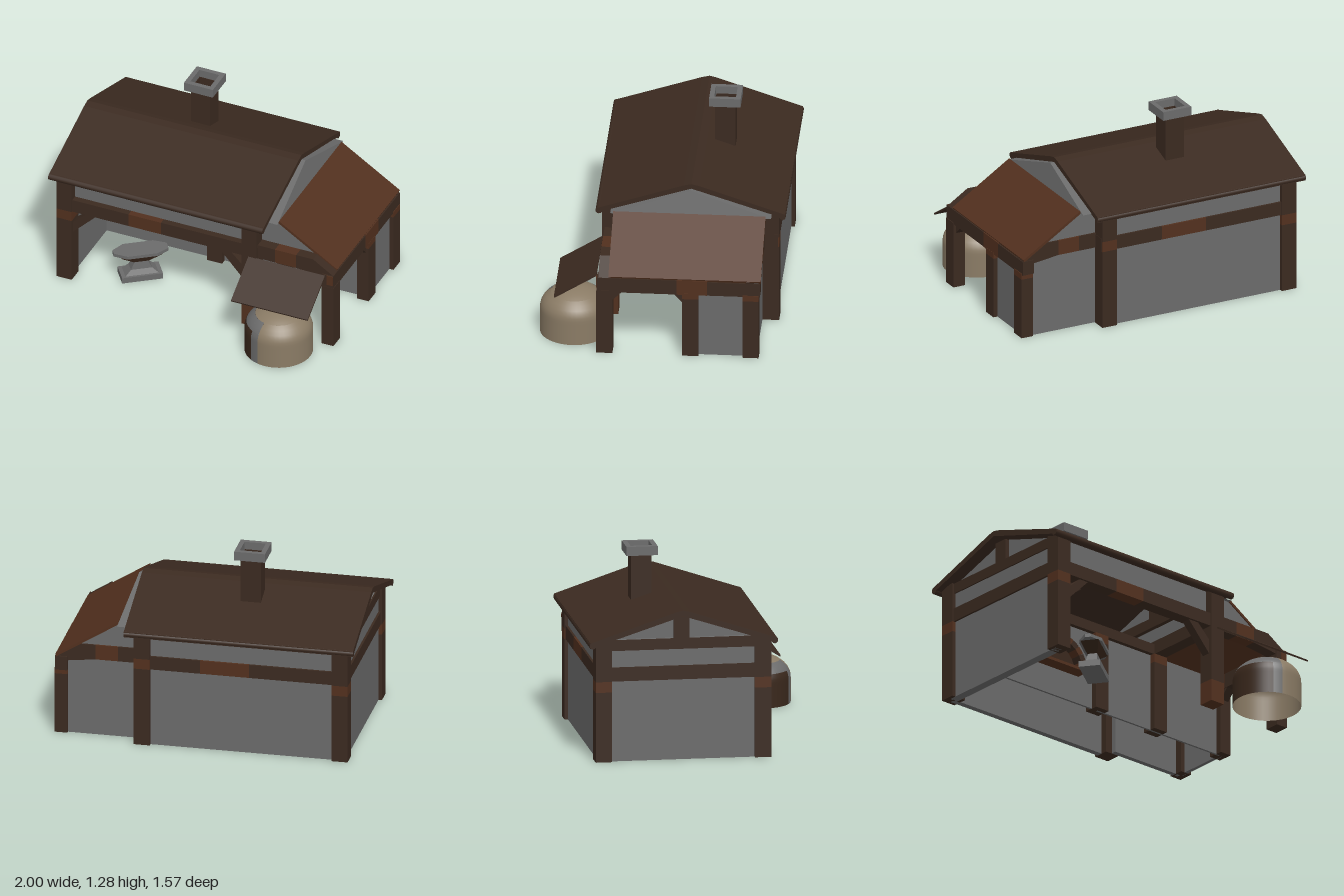
import * as THREE from 'three';

const material = (name, color, side = THREE.FrontSide) => {
  const m = new THREE.MeshStandardMaterial({ color, side });
  m.name = name;
  return m;
};

export function createModel() {
  const model = new THREE.Group();
  model.name = 'smithy';
  const wood = material('dark wood', 0x3b2a20);
  const rust = material('red brown wood', 0x52301e);
  const stone = material('grey stone', 0x6b6b6b, THREE.DoubleSide);
  const clay = material('tan clay', 0x8a7b65, THREE.DoubleSide);
  const soot = material('hearth brown', 0x3a281c, THREE.DoubleSide);

  const add = (name, geo, mat, parent = model) => {
    const mesh = new THREE.Mesh(geo, mat);
    mesh.name = name;
    parent.add(mesh);
    return mesh;
  };
  // box given by its limits
  const box = (name, mat, x0, x1, y0, y1, z0, z1, parent = model) => {
    const g = new THREE.BoxGeometry(x1 - x0, y1 - y0, z1 - z0);
    g.translate((x0 + x1) / 2, (y0 + y1) / 2, (z0 + z1) / 2);
    return add(name, g, mat, parent);
  };
  const extrude = (pts, depth) => new THREE.ExtrudeGeometry(
    new THREE.Shape(pts.map(p => new THREE.Vector2(...p))), { depth, bevelEnabled: false });
  // outline in (x, y), thick along z
  const plateXY = (name, mat, pts, z0, z1, parent) =>
    add(name, extrude(pts, z1 - z0).translate(0, 0, z0), mat, parent);
  // outline in (z, y), thick along x
  const plateZY = (name, mat, pts, x0, x1) =>
    add(name, extrude(pts, x1 - x0).rotateY(-Math.PI / 2).translate(x1, 0, 0), mat);

  // corner posts: each has one red brown band
  for (const [x, z, b0, b1] of [[-0.9, 0.35, 0.46, 0.53], [0.405, 0.35, 0, 0.15],
    [-0.9, -0.69, 0.46, 0.53], [0.405, -0.69, 0.53, 0.6]]) {
    const post = (m, a, b) => box('cornerPost', m, x - 0.053, x + 0.053, a, b, z - 0.053, z + 0.053);
    if (b0 > 0) post(wood, 0, b0);
    post(rust, b0, b1);
    post(wood, b1, 0.8);
  }
  // inner posts
  for (const x of [-0.09, 0.405]) {
    box('innerPost', wood, x - 0.053, x + 0.053, 0, 0.47, -0.26, -0.16);
    box('innerPostTop', rust, x - 0.053, x + 0.053, 0.47, 0.53, -0.26, -0.16);
  }
  // lean-to posts
  for (const z of [0.345, -0.21, -0.6]) {
    box('leanToPost', wood, 0.915, 0.999, 0, 0.41, z - 0.052, z + 0.052);
    box('leanToPostTop', z > 0 ? wood : rust, 0.915, 0.999, 0.41, 0.45, z - 0.052, z + 0.052);
  }

  // ring beams, each with a red brown length
  const beamX = (z, a, b) => {
    box('longBeam', wood, -0.95, a, 0.53, 0.62, z - 0.045, z + 0.045);
    box('longBeamPatch', rust, a, b, 0.53, 0.62, z - 0.045, z + 0.045);
    box('longBeam', wood, b, 0.46, 0.53, 0.62, z - 0.045, z + 0.045);
  };
  beamX(0.35, -0.45, -0.22);
  beamX(-0.69, -0.3, 0.02);
  box('innerBeam', wood, -0.9, 0.4, 0.53, 0.6, -0.25, -0.17);
  for (const x of [-0.9, 0.405]) {
    box('sideBeam', wood, x - 0.045, x + 0.045, 0.53, 0.62, -0.69, 0.35);
    box('tieBeam', wood, x - 0.04, x + 0.04, 0.73, 0.8, -0.69, 0.35);
    box('kingPost', wood, x - 0.04, x + 0.04, 0.8, 0.94, -0.23, -0.13);
  }

  // lean-to beams
  box('leanToBeam', wood, 0.915, 0.995, 0.44, 0.54, -0.12, 0.395);
  box('leanToBeamEnd', rust, 0.95, 0.995, 0.47, 0.54, 0.395, 0.4);
  box('leanToBeamPatch', rust, 0.915, 0.997, 0.44, 0.542, -0.32, -0.12);
  box('leanToBeam', wood, 0.915, 0.995, 0.44, 0.535, -0.66, -0.32);
  for (const z of [0.345, -0.61]) {
    box('leanToCrossBeam', wood, 0.45, 0.58, 0.53, 0.63, z - 0.04, z + 0.04);
    box('leanToCrossBeamPatch', rust, 0.58, 0.73, 0.53, 0.63, z - 0.04, z + 0.04);
    plateXY('leanToCrossBeamEnd', wood,
      [[0.73, 0.53], [0.97, 0.5], [0.99, 0.54], [0.85, 0.63], [0.73, 0.63]], z - 0.04, z + 0.04);
  }

  // diagonal braces
  plateXY('frontBrace', wood, [[-0.86, 0.35], [-0.68, 0.53], [-0.75, 0.53], [-0.86, 0.43]], 0.32, 0.38);
  plateXY('frontBrace', wood, [[0.36, 0.33], [0.36, 0.43], [0.26, 0.53], [0.18, 0.53]], 0.32, 0.38);
  plateZY('sideBrace', wood, [[0.31, 0.36], [0.31, 0.44], [0.23, 0.44]], 0.92, 0.98);
  plateZY('sideBrace', wood, [[-0.17, 0.36], [-0.1, 0.44], [-0.17, 0.44]], 0.92, 0.98);

  // stone walls
  box('backWall', stone, -0.9, 0.4, 0, 0.8, -0.72, -0.68);
  box('frontUpperWall', stone, -0.9, 0.4, 0.6, 0.8, 0.33, 0.35);
  box('innerWall', stone, -0.9, 0.95, 0, 0.53, -0.215, -0.2);
  box('leftWall', stone, -0.93, -0.87, 0, 0.8, -0.69, 0.35);
  box('rightUpperWall', stone, 0.395, 0.415, 0.55, 0.8, -0.69, 0.35);
  box('leanToBackWall', stone, 0.4, 0.95, 0, 0.54, -0.635, -0.6);
  box('leanToSideWall', stone, 0.945, 0.97, 0, 0.45, -0.6, -0.21);
  plateZY('leftGable', stone, [[0.36, 0.79], [-0.18, 0.965], [-0.72, 0.79]], -0.91, -0.89);
  for (const z of [0.305, -0.63])
    plateXY('leanToGable', stone,
      [[0.42, 0.56], [0.95, 0.557], [0.575, 0.797], [0.42, 0.797]], z - 0.008, z + 0.008);

  // right gable: a thick triangle whose outer face leans inwards towards the ridge
  const gable = plateZY('rightGable', stone, [[0.34, 0.795], [-0.18, 0.962], [-0.7, 0.795]], 0.4, 0.577);
  const gp = gable.geometry.attributes.position;
  for (let i = 0; i < gp.count; i++)
    if (gp.getY(i) > 0.9 && gp.getX(i) > 0.5) gp.setX(i, 0.543);
  gable.geometry.computeVertexNormals();

  // main roof with rolled edges
  plateZY('mainRoof', wood, [[0.43, 0.797], [-0.13, 0.983], [-0.18, 0.995], [-0.23, 0.983], [-0.785, 0.797],
    [-0.785, 0.762], [-0.18, 0.958], [0.43, 0.762]], -0.998, 0.515);
  for (const z of [0.418, -0.768])
    add('eaveRoll', new THREE.CylinderGeometry(0.022, 0.022, 1.512, 12)
      .rotateZ(Math.PI / 2).translate(-0.242, 0.78, z), wood);

  // lean-to roof and front awning
  plateXY('leanToRoof', rust, [[0.575, 0.795], [0.985, 0.535], [0.992, 0.55], [0.58, 0.812]], -0.665, 0.32);
  plateZY('awning', wood, [[0.4, 0.525], [0.672, 0.355], [0.676, 0.365], [0.4, 0.538]], 0.4, 0.94);

  // hollow chimney and cap
  const tube = (name, mat, r, hole, y, h) => {
    const s = new THREE.Shape([[-r, -r], [r, -r], [r, r], [-r, r]].map(p => new THREE.Vector2(...p)));
    s.holes.push(new THREE.Path([[-hole, -hole], [-hole, hole], [hole, hole], [hole, -hole]]
      .map(p => new THREE.Vector2(...p))));
    add(name, new THREE.ExtrudeGeometry(s, { depth: h, bevelEnabled: false })
      .rotateX(-Math.PI / 2).translate(-0.242, y, -0.345), mat);
  };
  tube('chimney', wood, 0.067, 0.063, 0.86, 0.37);
  tube('chimneyCap', stone, 0.102, 0.07, 1.22, 0.06);

  // arched hearth on the inner wall
  const hearth = new THREE.Group();
  hearth.name = 'hearth';
  hearth.position.set(-0.455, 0.21, 0);
  model.add(hearth);
  add('hearthBack', new THREE.CircleGeometry(0.16, 24, 0, Math.PI).translate(0, 0, -0.19), soot, hearth);
  const n = 11;
  for (let i = 0; i < n; i++) {
    const a = (i + 0.5) / n * Math.PI;
    const g = new THREE.BoxGeometry(0.042, 0.051, 0.08).translate(0.174, 0, 0)
      .rotateZ(a).translate(0, 0, -0.158);
    add('archBlock', g, i % 2 ? wood : rust, hearth);
  }
  box('hearthSill', rust, -0.195, 0.195, -0.02, 0, -0.2, -0.112, hearth);

  // anvil: stacked tapering sections, turned towards the corner
  const anvil = new THREE.Group();
  anvil.name = 'anvil';
  anvil.position.set(-0.46, 0, 0.185);
  anvil.rotation.y = 0.64;
  model.add(anvil);
  const frustum = (name, mat, y0, l0, w0, y1, l1, w1) => {
    const g = new THREE.BoxGeometry(1, 1, 1).toNonIndexed();
    const p = g.attributes.position;
    for (let i = 0; i < p.count; i++) {
      const up = p.getY(i) > 0;
      p.setXYZ(i, p.getX(i) * (up ? l1 : l0), up ? y1 : y0, p.getZ(i) * (up ? w1 : w0));
    }
    g.computeVertexNormals();
    add(name, g, mat, anvil);
  };
  frustum('anvilBase', stone, 0.01, 0.27, 0.14, 0.05, 0.27, 0.14);
  frustum('anvilFoot', stone, 0.05, 0.22, 0.11, 0.085, 0.14, 0.075);
  frustum('anvilNeck', stone, 0.085, 0.14, 0.075, 0.14, 0.085, 0.06);
  frustum('anvilUnderside', soot, 0.14, 0.1, 0.07, 0.195, 0.27, 0.12);
  plateXY('anvilTop', stone, [[-0.18, -0.02], [-0.1, -0.075], [0.1, -0.075],
    [0.18, -0.03], [0.18, 0.03], [0.1, 0.075], [-0.1, 0.075], [-0.18, 0.02]], 0, 0.022, anvil)
    .geometry.rotateX(-Math.PI / 2).translate(0, 0.195, 0);

  // domed kiln: clay shell, brown mouth on the left with a grey rim
  const kiln = new THREE.Group();
  kiln.name = 'kiln';
  kiln.position.set(0.687, 0, 0.562);
  model.add(kiln);
  const r = 0.222;
  const outline = (y0, y1) => Array.from({ length: 13 }, (_, i) => {
    const y = y0 + (y1 - y0) * i / 12;
    const t = Math.max(0, (y - 0.17) / 0.15);
    return new THREE.Vector2(r * Math.sqrt(Math.max(0, 1 - t * t)), y);
  });
  const patch = (name, mat, y0, y1, a0, a1) => {
    const rad = Math.PI / 180;
    add(name, new THREE.LatheGeometry(outline(y0, y1), Math.ceil((a1 - a0) / 8), a0 * rad, (a1 - a0) * rad), mat, kiln);
  };
  patch('kilnWall', clay, 0, 0.28, -14, 218);
  patch('kilnMouth', soot, 0, 0.22, -130, -30);
  patch('kilnRimFront', stone, 0, 0.22, -30, -14);
  patch('kilnRimBack', stone, 0, 0.22, -142, -130);
  patch('kilnRimTop', stone, 0.22, 0.28, -142, -14);
  const a0 = Math.asin(0.11 / 0.15);
  const cap = Array.from({ length: 9 }, (_, i) => {
    const a = a0 + (Math.PI / 2 - a0) * i / 8;
    return new THREE.Vector2(r * Math.cos(a), 0.17 + 0.15 * Math.sin(a));
  });
  add('kilnCrown', new THREE.LatheGeometry(cap, 40), clay, kiln);

  return model;
}
